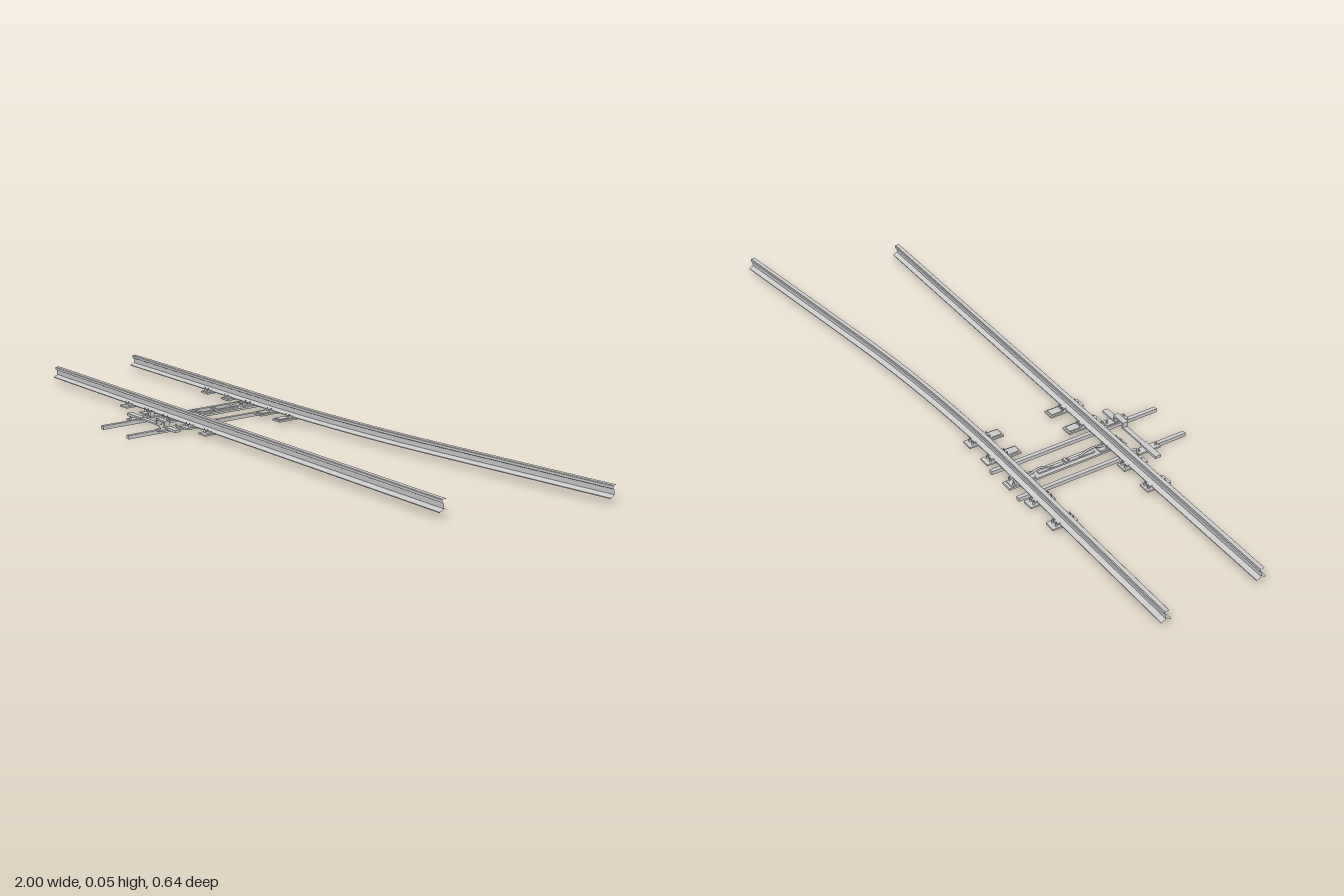
import * as THREE from 'three';
import { toCreasedNormals } from 'three/addons/utils/BufferGeometryUtils.js';

const grey = new THREE.MeshStandardMaterial({ color: 0xcccccc });

// rail section: [offset across, height], running anticlockwise from the foot
const half = [[0.015, 0.016], [0.015, 0.0185], [0.004, 0.0225], [0.002, 0.025],
  [0.002, 0.0385], [0.0075, 0.041], [0.0075, 0.048], [0.006, 0.0497]];
const section = [...half, ...half.map(([u, y]) => [-u, y]).reverse()];

// sweep the section along z = f(x), ends left open
function railGeometry(xs, f) {
  const pos = [], idx = [], n = section.length;
  for (const x of xs) {
    const slope = (f(x + 0.001) - f(x - 0.001)) / 0.002;
    const l = Math.hypot(1, slope);
    for (const [u, y] of section) pos.push(x - (u * slope) / l, y, f(x) + u / l);
  }
  for (let i = 0; i < xs.length - 1; i++) {
    for (let j = 0; j < n; j++) {
      const a = i * n + j, b = i * n + (j + 1) % n, c = a + n, d = b + n;
      idx.push(a, c, b, b, c, d);
    }
  }
  const g = new THREE.BufferGeometry();
  g.setAttribute('position', new THREE.Float32BufferAttribute(pos, 3));
  g.setIndex(idx);
  return toCreasedNormals(g, 0.4);
}

function add(parent, name, geometry, x = 0, y = 0, z = 0) {
  const m = new THREE.Mesh(geometry, grey);
  m.name = name;
  m.position.set(x, y, z);
  parent.add(m);
  return m;
}

// box given by its limits on each axis
function block(parent, name, x0, x1, y0, y1, z0, z1) {
  return add(parent, name, new THREE.BoxGeometry(x1 - x0, y1 - y0, z1 - z0),
    (x0 + x1) / 2, (y0 + y1) / 2, (z0 + z1) / 2);
}

function bolt(parent, x, y, z, h = 0.008) {
  add(parent, 'bolt', new THREE.CylinderGeometry(0.0035, 0.0035, h * 0.6, 6), x, y + h * 0.3, z);
  add(parent, 'boltTip', new THREE.CylinderGeometry(0.0018, 0.0018, h, 8), x, y + h / 2, z);
}

export function createModel() {
  const model = new THREE.Group();
  model.name = 'railSwitch';
  const zStraight = 0.113, zCurve = -0.177, zMid = (zStraight + zCurve) / 2;

  // stock rails: one straight, one bending away
  const bend = x => {
    const t = Math.min(Math.max(x + 0.3, 0), 0.75);
    return zCurve - 0.0935 * t * t - Math.max(x - 0.45, 0) * 0.14;
  };
  const bendXs = [-1, ...Array.from({ length: 17 }, (_, i) => -0.3 + i * 0.75 / 16), 0.997];
  add(model, 'straightRail', railGeometry([-1, 0.83], () => zStraight));
  add(model, 'curvedRail', railGeometry(bendXs, bend));

  // base plates with clips and bolts; s points to the outside of the track
  for (const [z, s] of [[zStraight, 1], [zCurve, -1]]) {
    for (const [x, inner] of [[-0.55, 0.035], [-0.445, 0.035], [-0.23, 0.068], [-0.14, 0.068]]) {
      const plate = new THREE.Group();
      plate.name = 'basePlate';
      plate.position.set(x, 0, z);
      plate.scale.z = 1;
      const a = -s * inner, b = s * 0.041;
      block(plate, 'plate', -0.017, 0.017, 0.011, 0.016, Math.min(a, b), Math.max(a, b));
      for (const side of [1, -1]) {
        block(plate, 'clip', -0.008, 0.008, 0.016, 0.021, side * 0.018 - 0.005, side * 0.018 + 0.005);
        bolt(plate, -0.008, 0.016, side * 0.026, 0.012);
        bolt(plate, 0.008, 0.016, side * 0.026, 0.012);
      }
      // raised slide for the moving blade
      if (inner > 0.05) {
        block(plate, 'slide', -0.012, 0.012, 0.016, 0.019, -s * 0.045 - 0.018, -s * 0.045 + 0.018);
      }
      model.add(plate);
    }
  }

  // two flat carrier bars under the rails
  for (const x of [-0.402, -0.268]) {
    block(model, 'carrierBar', x - 0.006, x + 0.006, 0, 0.011, -0.22, 0.32);
  }

  // central tie with locking gear
  block(model, 'centreTie', -0.362, -0.328, 0.006, 0.012, -0.22, 0.155);
  const lock = new THREE.Group();
  lock.name = 'lockingGear';
  lock.position.set(-0.345, 0, 0);
  model.add(lock);
  block(lock, 'slideRod', -0.005, 0.005, 0.012, 0.016, -0.12, 0.06);
  for (const s of [1, -1]) {
    const z = d => zMid + s * d;
    const arm = new THREE.CatmullRomCurve3([
      [0.125, 0.019], [0.108, 0.021], [0.092, 0.027], [0.07, 0.025], [0.052, 0.018], [0.04, 0.015],
    ].map(([d, y]) => new THREE.Vector3(0, y, z(d))));
    add(lock, 'hookArm', new THREE.TubeGeometry(arm, 16, 0.003, 8));
    for (const dx of [-0.011, 0.011]) {
      bolt(lock, dx, 0.012, z(0.172), 0.016);
      bolt(lock, dx, 0.012, z(0.125), 0.014);
    }
    block(lock, 'bracket', -0.014, 0.014, 0.012, 0.017, z(0.118) - 0.015, z(0.118) + 0.015);
    block(lock, 'outerBracket', -0.014, 0.014, 0.012, 0.016, z(0.172) - 0.008, z(0.172) + 0.008);
  }
  const pin = add(lock, 'centrePin', new THREE.CylinderGeometry(0.004, 0.004, 0.018, 10), 0, 0.019, zMid);
  pin.rotation.z = Math.PI / 2;
  for (const dz of [-0.006, 0.006]) {
    block(lock, 'pinLug', -0.006, 0.006, 0.012, 0.022, zMid + dz - 0.0015, zMid + dz + 0.0015);
  }

  // cross bar joining the carrier bars outside the straight rail
  const link = new THREE.Group();
  link.name = 'crossBar';
  model.add(link);
  block(link, 'leftBar', -0.46, -0.39, 0.011, 0.019, 0.181, 0.199);
  block(link, 'middleBar', -0.39, -0.3, 0.013, 0.018, 0.183, 0.197);
  block(link, 'riser', -0.306, -0.3, 0.013, 0.034, 0.182, 0.199);
  block(link, 'raisedBar', -0.306, -0.26, 0.029, 0.034, 0.182, 0.199);
  block(link, 'endRiser', -0.266, -0.26, 0.011, 0.034, 0.182, 0.199);
  block(link, 'rightBar', -0.266, -0.208, 0.011, 0.018, 0.181, 0.199);
  for (const x of [-0.41, -0.258]) {
    block(link, 'mount', x - 0.012, x + 0.012, 0.009, 0.014, 0.155, 0.225);
    for (const z of [0.162, 0.218]) bolt(link, x, 0.014, z, 0.008);
  }
  // small upright lever near the straight rail
  block(link, 'lever', -0.415, -0.405, 0.012, 0.026, 0.138, 0.152);
  return model;
}
